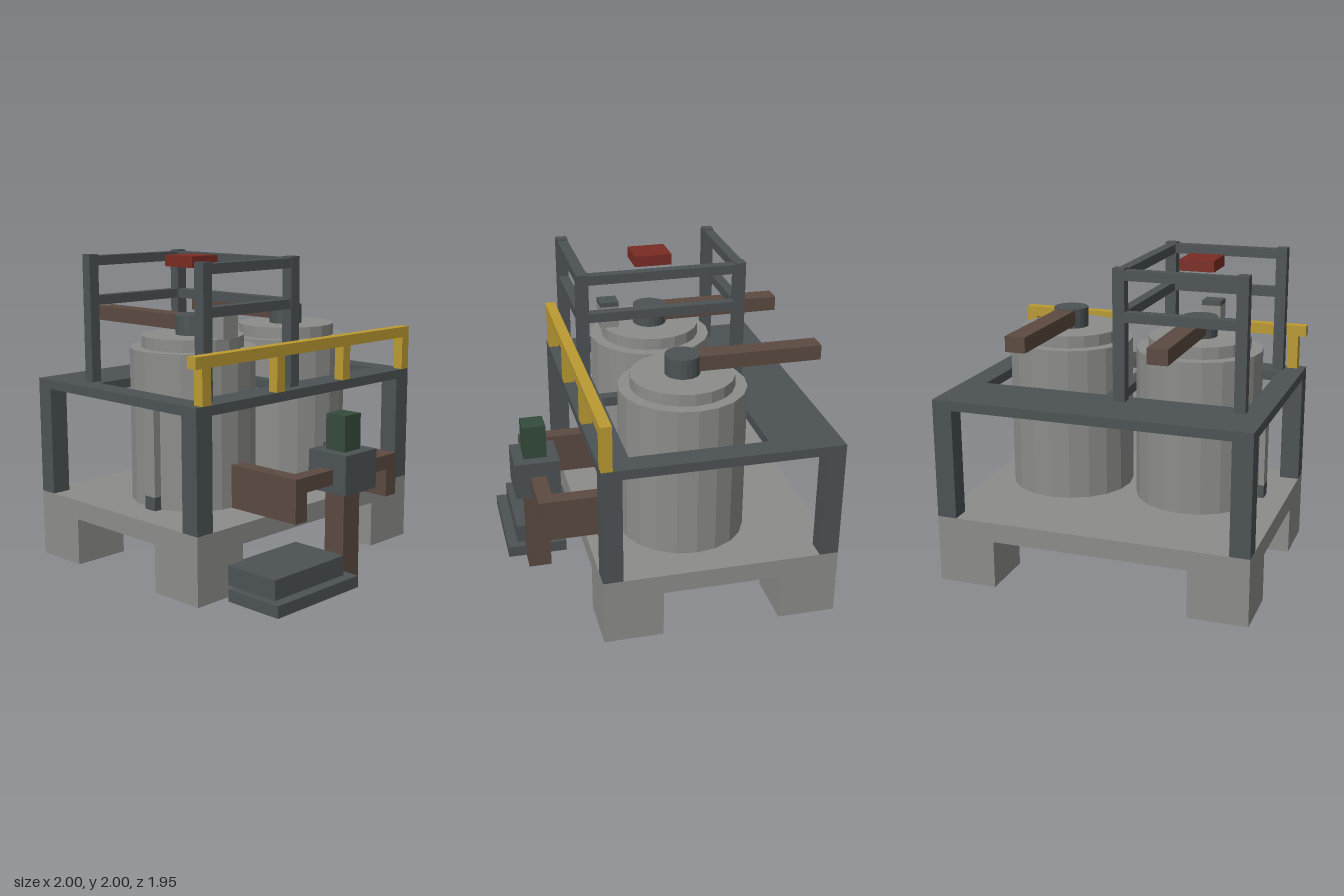
import * as THREE from 'three';

const mat = (name, color) => {
  const m = new THREE.MeshStandardMaterial({ color, flatShading: true });
  m.name = name;
  return m;
};

export function createModel() {
  const model = new THREE.Group();
  model.name = 'twinTankStation';
  const steel = mat('darkSteel', 0x4c5254);
  const grey = mat('lightGrey', 0x8c8c8a);
  const brown = mat('rustBrown', 0x5b4a40);
  const yellow = mat('safetyYellow', 0xbb9a33);
  const red = mat('signalRed', 0x7a2b23);
  const green = mat('motorGreen', 0x344b3b);

  // Box given by its extents on each axis
  const box = (name, m, x0, x1, y0, y1, z0, z1) => {
    const mesh = new THREE.Mesh(new THREE.BoxGeometry(x1 - x0, y1 - y0, z1 - z0), m);
    mesh.position.set((x0 + x1) / 2, (y0 + y1) / 2, (z0 + z1) / 2);
    mesh.name = name;
    model.add(mesh);
  };
  const drum = (name, m, x, z, r, y0, y1) => {
    const mesh = new THREE.Mesh(new THREE.CylinderGeometry(r, r, y1 - y0, 20), m);
    mesh.position.set(x, (y0 + y1) / 2, z);
    mesh.name = name;
    model.add(mesh);
  };

  // Foundation slab on four feet
  box('slab', grey, -1, 1, 0.305, 0.43, -0.97, 0.525);
  for (const [x0, x1] of [[-1, -0.625], [0.625, 1]]) {
    box('frontFoot', grey, x0, x1, 0, 0.305, 0.15, 0.525);
    box('backFoot', grey, x0, x1, 0, 0.305, -0.97, -0.6);
  }

  // Platform posts and deck with two openings
  for (const [x0, x1] of [[-1, -0.875], [0.875, 1]]) {
    box('frontPost', steel, x0, x1, 0.43, 1.13, 0.4, 0.525);
    box('backPost', steel, x0, x1, 0.43, 1.13, -0.97, -0.85);
  }
  const rect = (Type, x0, x1, y0, y1) => {
    const s = new Type();
    s.moveTo(x0, y0);
    s.lineTo(x1, y0);
    s.lineTo(x1, y1);
    s.lineTo(x0, y1);
    s.closePath();
    return s;
  };
  const deckShape = rect(THREE.Shape, -1, 1, -0.525, 0.97);
  deckShape.holes.push(rect(THREE.Path, -0.85, -0.04, -0.33, 0.53));
  deckShape.holes.push(rect(THREE.Path, 0.035, 0.85, -0.33, 0.53));
  const deck = new THREE.Mesh(
    new THREE.ExtrudeGeometry(deckShape, { depth: 0.06, bevelEnabled: false }), steel);
  deck.rotation.x = -Math.PI / 2;
  deck.position.y = 1.13;
  deck.name = 'deck';
  model.add(deck);

  // Two tanks with lids, outlets and rear pipes
  for (const x of [-0.435, 0.435]) {
    const z = -0.1;
    drum('drain', steel, x, z, 0.175, 0.18, 0.305);
    drum('tankSkirt', grey, x, z, 0.28, 0.43, 0.455);
    drum('tank', grey, x, z, 0.4, 0.455, 1.43);
    drum('tankLid', grey, x, z, 0.325, 1.43, 1.505);
    drum('lidOutlet', steel, x, z, 0.11, 1.505, 1.63);
    box('rearPipe', brown, x - 0.063, x + 0.063, 1.53, 1.625, -0.97, -0.19);
  }

  // Lid nozzle and level gauge on the right-hand tank
  box('nozzle', grey, -0.505, -0.38, 1.505, 1.65, 0.12, 0.245);
  box('nozzleCap', steel, -0.505, -0.38, 1.65, 1.68, 0.12, 0.245);
  box('gaugeFoot', steel, -0.87, -0.82, 0.455, 0.54, -0.08, 0.01);
  box('gauge', grey, -0.87, -0.82, 0.54, 1.13, -0.08, 0.01);

  // Hoist frame, open on its outer side
  for (const [x0, x1] of [[-0.87, -0.8], [-0.125, -0.05]]) {
    box('hoistFrontPost', steel, x0, x1, 1.19, 2, 0.38, 0.455);
    box('hoistBackPost', steel, x0, x1, 1.19, 2, -0.645, -0.575);
  }
  for (const [y0, y1] of [[1.68, 1.74], [1.93, 1.99]]) {
    box('hoistFrontRail', steel, -0.8, -0.125, y0, y1, 0.38, 0.45);
    box('hoistBackRail', steel, -0.8, -0.125, y0, y1, -0.645, -0.58);
    box('hoistSideRail', steel, -0.12, -0.055, y0, y1, -0.575, 0.38);
  }
  box('hoistBlock', red, -0.55, -0.33, 1.93, 2, -0.225, 0.02);

  // Front guard rail
  box('guardRail', yellow, -1, 1, 1.41, 1.48, 0.455, 0.525);
  for (const x of [-0.95, -0.325, 0.3, 0.93])
    box('guardPost', yellow, x, x + 0.07, 1.19, 1.41, 0.455, 0.525);

  // Pump, motor and feed pipes
  box('riser', brown, -0.075, 0.075, 0, 0.58, 0.705, 0.855);
  box('pump', steel, -0.148, 0.148, 0.58, 0.83, 0.63, 0.925);
  box('motor', green, -0.075, 0.075, 0.83, 1.055, 0.705, 0.855);
  for (const s of [-1, 1]) {
    const span = (a, b) => (s > 0 ? [a, b] : [-b, -a]);
    box('crossPipe', brown, ...span(0.14, 0.385), 0.635, 0.73, 0.725, 0.825);
    box('feedPipe', brown, ...span(0.385, 0.485), 0.455, 0.73, 0.285, 0.825);
  }

  // Stepped plinth in front
  box('plinthBase', steel, -0.8, -0.075, 0, 0.075, 0.575, 0.975);
  box('plinthTop', steel, -0.75, -0.13, 0.075, 0.2, 0.51, 0.905);

  return model;
}
